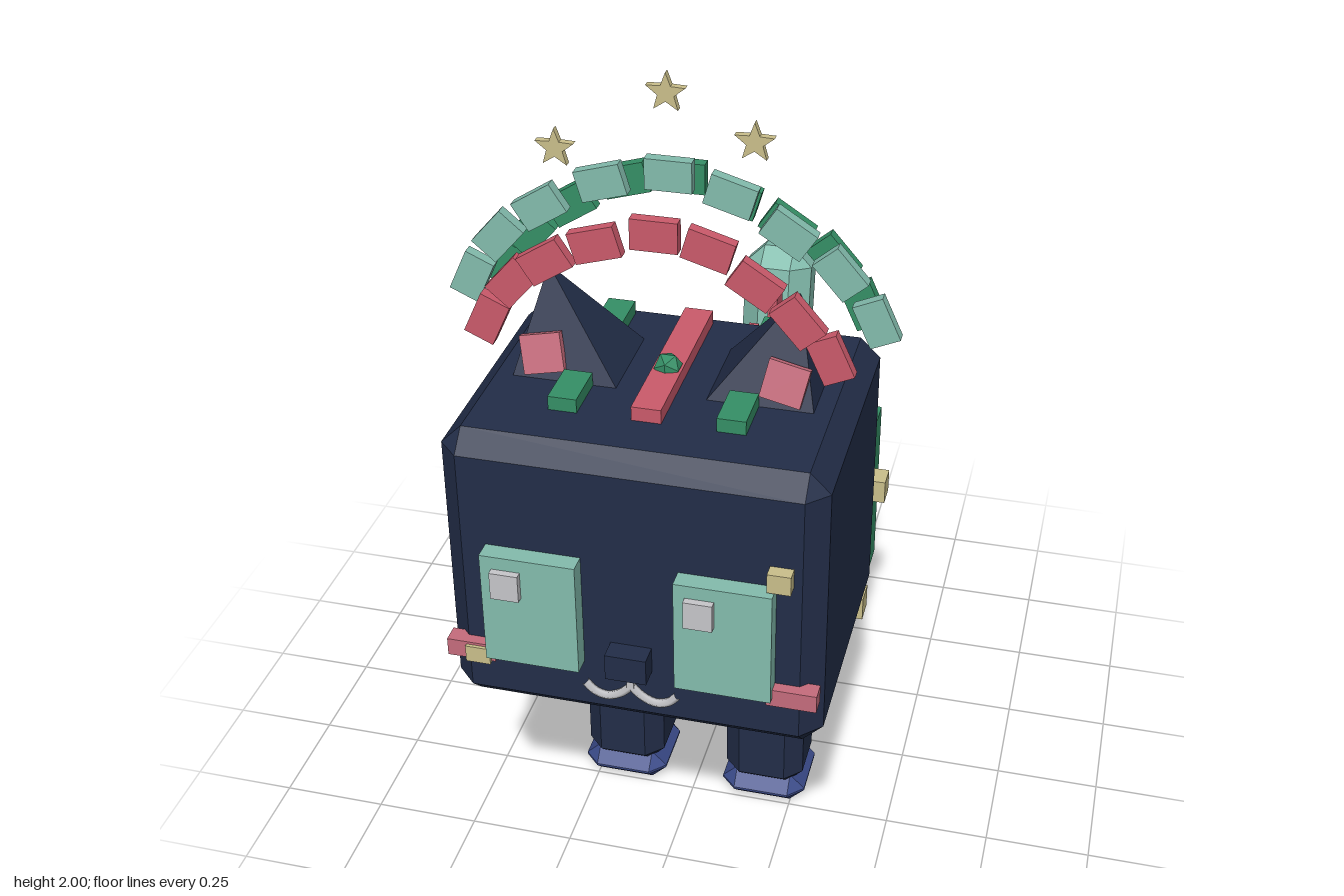
import * as THREE from 'three';
import { ConvexGeometry } from 'three/addons/geometries/ConvexGeometry.js';

const mat = (name, color) => {
  const m = new THREE.MeshStandardMaterial({ color });
  m.name = name;
  return m;
};

export function createModel() {
  const navy = mat('navy', 0x222d48), blue = mat('blue', 0x3a4a88), teal = mat('teal', 0x83bcad);
  const green = mat('green', 0x358f66), red = mat('red', 0xcb5a6b), pink = mat('pink', 0xc56c7c);
  const tan = mat('tan', 0xcabf8b), pale = mat('pale grey', 0xc6c6ca);

  const model = new THREE.Group();
  const add = (name, geo, material, x = 0, y = 0, z = 0, parent = model) => {
    const m = new THREE.Mesh(geo, material);
    m.name = name;
    m.position.set(x, y, z);
    parent.add(m);
    return m;
  };
  const box = (name, material, w, h, d, x, y, z, parent) =>
    add(name, new THREE.BoxGeometry(w, h, d), material, x, y, z, parent);

  // Box with every edge cut off by c
  const chamferBox = (w, h, d, c) => {
    const pts = [];
    for (const i of [-1, 1]) for (const j of [-1, 1]) for (const k of [-1, 1]) {
      const X = i * w / 2, Y = j * h / 2, Z = k * d / 2;
      pts.push(
        new THREE.Vector3(X, Y - j * c, Z - k * c),
        new THREE.Vector3(X - i * c, Y, Z - k * c),
        new THREE.Vector3(X - i * c, Y - j * c, Z));
    }
    return new ConvexGeometry(pts);
  };

  // Body and head
  add('body', chamferBox(0.64, 0.48, 0.785, 0.045), navy, 0, 0.52, -0.1);
  add('head', chamferBox(0.82, 0.685, 0.65, 0.045), navy, 0, 0.968, 0.425);

  // Legs and paws
  for (const s of [-1, 1]) for (const z of [0.163, -0.352]) {
    add('leg', chamferBox(0.195, 0.3, 0.195, 0.04), navy, s * 0.18, 0.2, z);
    add('paw', chamferBox(0.21, 0.08, 0.21, 0.037), blue, s * 0.18, 0.04, z);
  }

  // Tail
  add('tailBase', chamferBox(0.19, 0.3, 0.17, 0.04), navy, 0, 0.735, -0.6).rotation.x = -0.84;
  add('tailTip', chamferBox(0.18, 0.28, 0.165, 0.05), teal, 0, 0.935, -0.71).rotation.x = -0.18;

  // Wrapped bands and spine stripe
  for (const [m, z] of [[green, 0.12], [red, -0.138], [green, -0.387]])
    box('band', m, 0.67, 0.46, 0.105, 0, 0.55, z);
  box('spineStripe', green, 0.05, 0.04, 0.5, 0, 0.767, -0.14);

  // Back spikes: x, z, then heights of green, teal and red tops
  const spikes = [
    [0.06, 0.07, 0.94, 1.1, 1.18], [0.05, 0.003, 0.93, 1.06, 1.145], [-0.01, -0.067, 0.9, 1.0, 1.065],
    [-0.064, -0.138, 0.88, 0.945, 0.995], [-0.047, -0.21, 0.88, 0.935, 0.99],
    [0.02, -0.282, 0.885, 0.99, 1.055], [0.064, -0.355, 0.95, 1.06, 1.14]];
  for (const [x, z, ...tops] of spikes) {
    let y = 0.8;
    tops.forEach((t, i) => {
      box('backSpike', [green, teal, red][i], 0.024, t - y, 0.064, x, (t + y) / 2, z);
      y = t;
    });
  }

  // Small cube lights
  const lights = [
    [0.345, 0.45, -0.035], [0.31, 0.655, -0.18], [0.345, 0.615, -0.32], [-0.348, 0.6, -0.19],
    [-0.348, 0.578, 0.06], [0.13, 0.775, -0.287], [-0.15, 0.775, 0.028], [0, 0.775, -0.107]];
  for (const p of lights) box('cubeLight', tan, 0.062, 0.062, 0.062, ...p);

  // Ears, eyes and cheeks
  for (const s of [-1, 1]) {
    const ear = [[0.33, 0.26], [0.09, 0.26], [0.09, 0.49], [0.33, 0.49]]
      .map(([x, z]) => new THREE.Vector3(s * x, 1.3, z));
    ear.push(new THREE.Vector3(s * 0.272, 1.53, 0.378));
    add('ear', new ConvexGeometry(ear), navy);
    const inner = box('innerEar', pink, 0.09, 0.085, 0.02, s * 0.263, 1.365, 0.468);
    inner.rotation.set(-0.3, 0, -s * 0.2);
    box('eye', teal, 0.207, 0.27, 0.05, s * 0.208, 0.92, 0.767);
    box('cheek', pink, 0.108, 0.042, 0.04, s * 0.352, 0.785, 0.755);
  }
  for (const x of [-0.255, 0.16]) box('eyeHighlight', pale, 0.062, 0.065, 0.03, x, 0.992, 0.793);
  box('faceSquare', tan, 0.05, 0.045, 0.03, 0.322, 1.082, 0.765);
  box('faceSquare', tan, 0.055, 0.04, 0.035, -0.335, 0.78, 0.765);

  // Nose and mouth
  box('nose', navy, 0.09, 0.062, 0.06, 0, 0.815, 0.767);
  box('mouthLine', pale, 0.016, 0.05, 0.016, 0, 0.762, 0.757);
  for (const s of [-1, 1]) {
    const curve = new THREE.CatmullRomCurve3([[0, 0.742], [0.025, 0.718], [0.055, 0.706], [0.082, 0.714], [0.102, 0.735]]
      .map(([x, y]) => new THREE.Vector3(s * x, y, 0.757)));
    add('mouthCurve', new THREE.TubeGeometry(curve, 12, 0.01, 5), pale);
  }

  // Head-top trim
  box('crownStripe', red, 0.064, 0.035, 0.44, 0, 1.325, 0.38);
  for (const s of [-1, 1]) for (const z of [0.215, 0.543])
    box('crownPatch', green, 0.062, 0.04, 0.115, s * 0.18, 1.322, z);
  add('crownGem', new THREE.IcosahedronGeometry(0.032, 0).toNonIndexed(), green, 0, 1.345, 0.425);

  // Three floating arches of tilted blocks
  const arches = [['tealArch', teal, 0.48, 0.42, 0], ['greenArch', green, 0.43, 0.31, 0.6], ['redArch', red, 0.4, 0.53, -0.6]];
  for (const [name, m, r, z, phase] of arches) {
    const arch = new THREE.Group();
    arch.name = name;
    model.add(arch);
    for (let k = -4; k <= 4; k++) {
      const a = k * 0.286;
      box('archBlock', m, 0.1, 0.068, 0.026, r * Math.sin(a), 1.295 + r * Math.cos(a),
        z - 0.026 * Math.cos(k * Math.PI / 2 + phase), arch).rotation.z = -a;
    }
  }

  // Floating stars
  const shape = new THREE.Shape();
  for (let i = 0; i < 10; i++) {
    const a = Math.PI / 2 + i * Math.PI / 5, r = i % 2 ? 0.018 : 0.043;
    shape[i ? 'lineTo' : 'moveTo'](r * Math.cos(a), r * Math.sin(a));
  }
  shape.closePath();
  const star = new THREE.ExtrudeGeometry(shape, { depth: 0.016, bevelEnabled: false });
  for (const [x, y] of [[-0.235, 1.815], [0, 1.957], [0.18, 1.87]]) add('star', star, tan, x, y, 0.4);

  return model;
}
